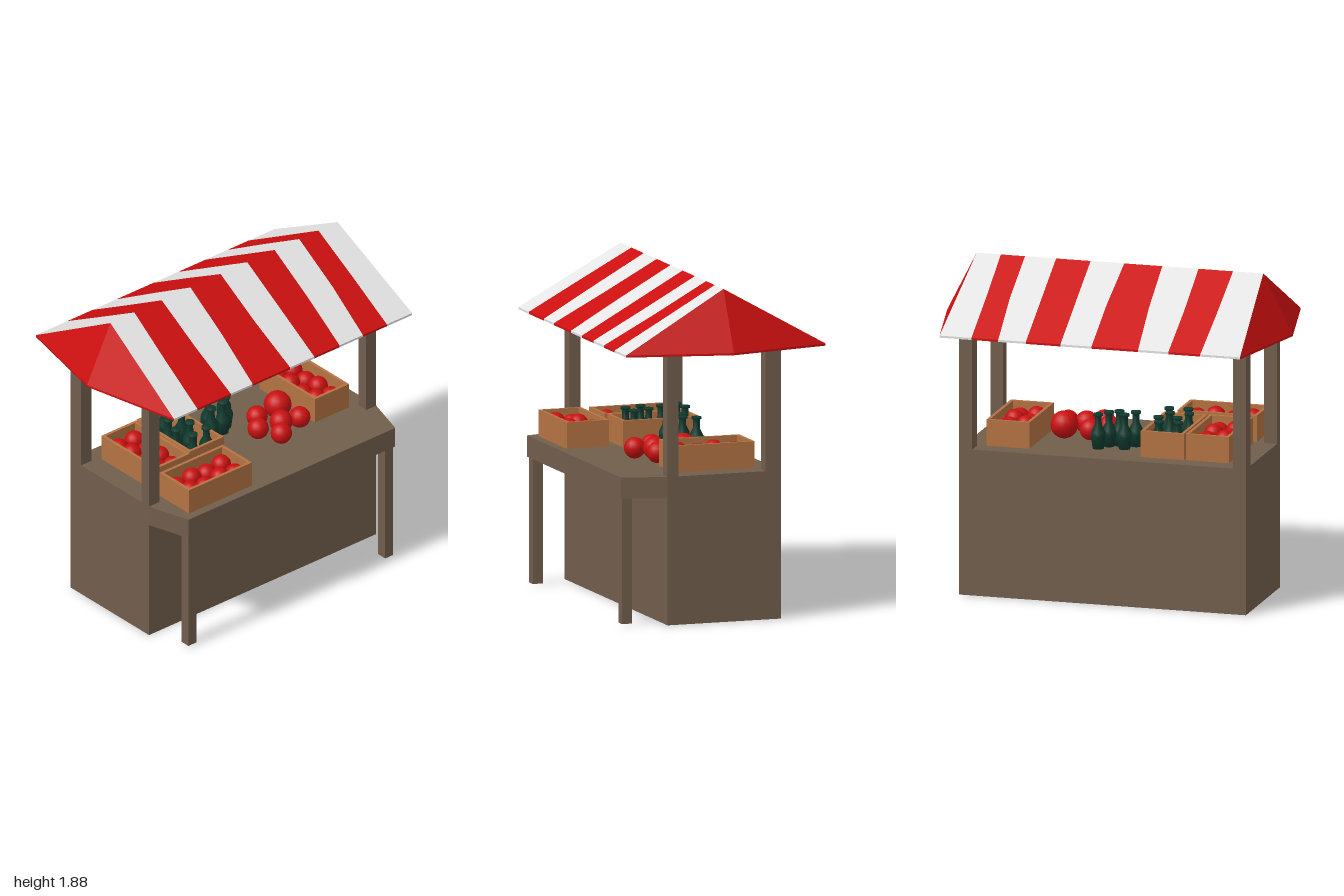
import * as THREE from 'three';

const material = (name, color, side = THREE.FrontSide) => {
  const m = new THREE.MeshStandardMaterial({ color, side });
  m.name = name;
  return m;
};

export function createModel() {
  const wood = material('darkWood', 0x725e4c);
  const crateWood = material('crateWood', 0xb47342);
  const glass = material('greenGlass', 0x0f3a2e);
  const appleRed = material('appleRed', 0xc81010);
  const canvasRed = material('canvasRed', 0xcc0f0f, THREE.DoubleSide);
  const canvasWhite = material('canvasWhite', 0xe4e4e4, THREE.DoubleSide);

  const model = new THREE.Group();
  model.name = 'marketStall';

  const add = (name, geometry, mat, parent = model) => {
    const mesh = new THREE.Mesh(geometry, mat);
    mesh.name = name;
    parent.add(mesh);
    return mesh;
  };
  // Box given by its limits on each axis
  const box = (name, [x0, x1], [y0, y1], [z0, z1], mat, parent) => {
    const mesh = add(name, new THREE.BoxGeometry(x1 - x0, y1 - y0, z1 - z0), mat, parent);
    mesh.position.set((x0 + x1) / 2, (y0 + y1) / 2, (z0 + z1) / 2);
    return mesh;
  };
  // Flat-shaded surface from a list of four-cornered (or three-cornered) faces
  const faces = (list, flip) => {
    const pos = [];
    for (const f of list) {
      const p = flip ? [...f].reverse() : f;
      for (let i = 1; i < p.length - 1; i++) pos.push(...p[0], ...p[i], ...p[i + 1]);
    }
    const g = new THREE.BufferGeometry();
    g.setAttribute('position', new THREE.Float32BufferAttribute(pos, 3));
    g.computeVertexNormals();
    return g;
  };

  // Counter body and tapered front shelf
  const TOP = 0.835;
  box('counterBody', [-0.83, 0.83], [0, TOP], [-0.34, 0.33], wood);
  const shelfShape = new THREE.Shape([
    new THREE.Vector2(-0.83, -0.33), new THREE.Vector2(-0.755, -0.58),
    new THREE.Vector2(0.755, -0.58), new THREE.Vector2(0.83, -0.33),
  ]);
  const shelf = new THREE.ExtrudeGeometry(shelfShape, { depth: TOP - 0.715, bevelEnabled: false });
  shelf.rotateX(-Math.PI / 2);
  add('frontShelf', shelf, wood).position.y = 0.715;

  // Shelf legs and roof posts
  for (const s of [-1, 1]) {
    const span = (a, b) => (s > 0 ? [a, b] : [-b, -a]);
    box('shelfLeg', span(0.69, 0.748), [0.008, 0.72], [0.51, 0.57], wood);
    box('frontPost', span(0.755, 0.83), [TOP, 1.675], [0.265, 0.33], wood);
    box('backPost', span(0.755, 0.83), [TOP, 1.67], [-0.34, -0.25], wood);
  }

  // Canopy: uneven stripes, listed from ridge to eave
  const RIDGE = 1.875, EAVE = 1.54, DEPTH = 0.59, HEM = 1.528;
  const ridgeRow = [-0.83, -0.655, -0.455, -0.245, -0.025, 0.17, 0.37, 0.55, 0.69, 0.83];
  const stripes = {
    1: [ridgeRow,
      [-0.85, -0.68, -0.46, -0.263, -0.03, 0.163, 0.36, 0.54, 0.69, 0.85],
      [-0.87, -0.70, -0.455, -0.295, -0.022, 0.155, 0.34, 0.51, 0.685, 0.87]],
    [-1]: [ridgeRow,
      [-0.85, -0.65, -0.46, -0.255, -0.01, 0.17, 0.37, 0.55, 0.685, 0.85],
      [-0.87, -0.64, -0.455, -0.28, -0.01, 0.17, 0.37, 0.53, 0.685, 0.87]],
  };
  const canopy = new THREE.Group();
  canopy.name = 'canopy';
  model.add(canopy);

  for (const s of [1, -1]) {
    // Slope rows, the last one being the hem that hangs from the eave
    const rows = [...stripes[s], stripes[s][2]];
    const ys = [RIDGE, (RIDGE + EAVE) / 2, EAVE, HEM];
    const zs = [0, DEPTH / 2, DEPTH, DEPTH].map((z) => z * s);
    const strip = (a, b, drop = 0) => [0, 1, 2].map((r) => [
      [rows[r][a], ys[r] - drop, zs[r]], [rows[r + 1][a], ys[r + 1] - drop, zs[r + 1]],
      [rows[r + 1][b], ys[r + 1] - drop, zs[r + 1]], [rows[r][b], ys[r] - drop, zs[r]],
    ]);
    const white = [], red = [];
    for (let i = 0; i < 9; i++) (i % 2 ? red : white).push(...strip(i, i + 1));
    add('whiteStripes', faces(white, s < 0), canvasWhite, canopy);
    add('redStripes', faces(red, s < 0), canvasRed, canopy);
    add('canopyLining', faces(strip(0, 9, 0.008).slice(0, 2), s > 0), canvasRed, canopy);

    // Pointed canopy end with its hem
    const ridge = [0.83 * s, RIDGE, 0], tip = [s, EAVE, 0];
    const front = [0.87 * s, EAVE, DEPTH], back = [0.87 * s, EAVE, -DEPTH];
    const low = ([x, , z]) => [x, HEM, z];
    add('canopyEnd', faces([
      [ridge, front, tip], [ridge, tip, back],
      [front, low(front), low(tip), tip], [tip, low(tip), low(back), back],
    ], s < 0), canvasRed, canopy);
  }

  // Fruit and bottles
  const appleGeometry = new THREE.SphereGeometry(1, 16, 12);
  const apple = (x, z, r, y = TOP + r) => {
    const mesh = add('apple', appleGeometry, appleRed);
    mesh.scale.setScalar(r);
    mesh.position.set(x, y, z);
  };
  const profile = [[0, 0], [0.032, 0], [0.042, 0.07], [0.04, 0.095], [0.02, 0.135],
    [0.019, 0.185], [0.028, 0.187], [0.028, 0.2], [0, 0.2]];
  const bottleGeometry = new THREE.LatheGeometry(profile.map(([r, y]) => new THREE.Vector2(r, y)), 12);
  const bottle = (x, z) => add('bottle', bottleGeometry, glass).position.set(x, TOP, z);

  // Open crate made of a floor and four walls
  const crate = (name, [x0, x1], [z0, z1]) => {
    const g = new THREE.Group();
    g.name = name;
    model.add(g);
    const t = 0.018, y = [TOP, 0.985];
    box('crateFloor', [x0 + t, x1 - t], [TOP, TOP + t], [z0 + t, z1 - t], crateWood, g);
    box('crateSide', [x0, x0 + t], y, [z0, z1], crateWood, g);
    box('crateSide', [x1 - t, x1], y, [z0, z1], crateWood, g);
    box('crateEnd', [x0 + t, x1 - t], y, [z0, z0 + t], crateWood, g);
    box('crateEnd', [x0 + t, x1 - t], y, [z1 - t, z1], crateWood, g);
  };
  // Two staggered rows of apples along the longer side of a crate
  const appleCrate = (name, xs, zs) => {
    crate(name, xs, zs);
    const cx = (xs[0] + xs[1]) / 2, cz = (zs[0] + zs[1]) / 2;
    const alongX = xs[1] - xs[0] > zs[1] - zs[0];
    for (let i = 0; i < 4; i++) for (const s of [-1, 1]) {
      const u = (i - 1.5) * 0.108 + s * 0.006, v = s * 0.05;
      const y = 0.905 + ((i + (s > 0 ? 1 : 0)) % 2) * 0.018;
      apple(cx + (alongX ? u : v), cz + (alongX ? v : u), 0.055, y);
    }
  };
  appleCrate('frontAppleCrate', [-0.71, -0.25], [0.28, 0.53]);
  appleCrate('sideAppleCrate', [0.455, 0.705], [-0.23, 0.245]);
  appleCrate('backAppleCrate', [-0.7, -0.45], [-0.23, 0.235]);
  crate('bottleCrate', [-0.44, -0.19], [-0.235, 0.22]);
  [-0.17, -0.065, 0.045, 0.145].forEach((z, i) => {
    const shift = i % 2 ? 0.025 : -0.01;
    bottle(-0.378 + shift, z);
    bottle(-0.27 + shift, z - 0.01);
  });

  // Loose goods on the counter
  [[-0.093, 0], [-0.05, -0.08], [0, -0.01], [0.05, -0.045], [0.093, -0.11]].forEach(([x, z]) => bottle(x, z));
  [[0.11, 0.163, 0.06], [0.175, 0.285, 0.06], [0.25, 0.195, 0.065], [0.365, 0.22, 0.06],
    [0.34, 0.06, 0.078], [0.19, 0.06, 0.06]].forEach(([x, z, r]) => apple(x, z, r));

  return model;
}
